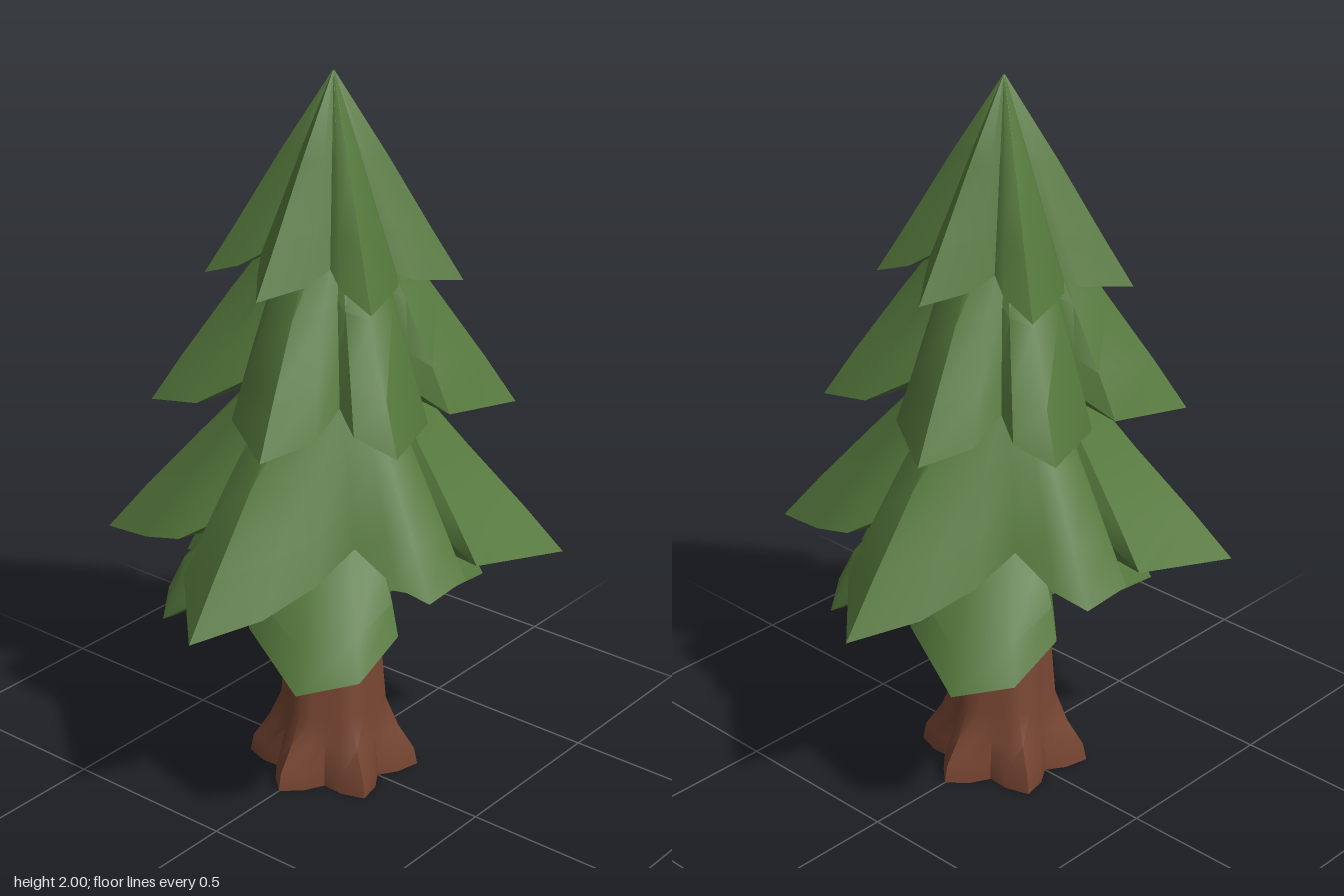
import * as THREE from 'three';
import { mergeVertices, toCreasedNormals } from 'three/addons/utils/BufferGeometryUtils.js';

const foliage = new THREE.MeshStandardMaterial({ color: 0x55783c, side: THREE.DoubleSide });
foliage.name = 'foliage green';
const bark = new THREE.MeshStandardMaterial({ color: 0x754431, side: THREE.DoubleSide });
bark.name = 'bark brown';

// Skin a stack of closed rings, listed from top to bottom
function loft(rings, crease) {
  const n = rings[0].length;
  const index = [];
  for (let r = 0; r < rings.length - 1; r++) {
    for (let i = 0; i < n; i++) {
      const a = r * n + i, b = r * n + (i + 1) % n;
      index.push(a, b, a + n, b, b + n, a + n);
    }
  }
  let geo = new THREE.BufferGeometry();
  geo.setAttribute('position', new THREE.Float32BufferAttribute(rings.flat(2), 3));
  geo.setIndex(index);
  geo = mergeVertices(geo, 1e-4);
  return toCreasedNormals(geo, crease);
}

// One tier of drooping boughs with a hollowed underside. Half of the rim is
// given, from +x round past -z; the other half is the same turned by 180 degrees.
function createTier(name, { topY, topR, bulge, hollowY, halfRim }) {
  const rim = [...halfRim, ...halfRim.map(([x, y, z]) => [-x, y, -z])];
  const circle = (radius, height) => rim.map(([x, , z]) => {
    const r = Math.hypot(x, z);
    return [x / r * radius, height, z / r * radius];
  });
  const top = circle(topR, topY);
  const between = (t, swell) => rim.map((p, i) => [
    top[i][0] + (p[0] - top[i][0]) * t * swell,
    topY + (p[1] - topY) * t,
    top[i][2] + (p[2] - top[i][2]) * t * swell,
  ]);
  const lip = rim.map(([x, y, z]) => [x * 0.93, y + 0.005, z * 0.93]);
  const mesh = new THREE.Mesh(loft([
    top, between(0.4, bulge[0]), between(0.75, bulge[1]), rim, lip,
    circle(0.1, hollowY), circle(0, hollowY + 0.02),
  ], 0.8), foliage);
  mesh.name = name;
  return mesh;
}

// Trunk flaring into rounded root lobes
function createTrunk() {
  const lobes = 6, n = lobes * 4;
  // height, radius, depth of the lobes
  const profile = [[0.68, 0.1, 0], [0.6, 0.112, 0.03], [0.2, 0.142, 0.05],
    [0.12, 0.165, 0.12], [0.05, 0.195, 0.18], [0, 0.2, 0.2], [0, 0, 0]];
  const rings = profile.map(([y, r, depth]) => Array.from({ length: n }, (_, i) => {
    const a = i / n * Math.PI * 2;
    const s = r * (1 + depth * Math.cos(lobes * a));
    return [Math.cos(a) * s, y, -Math.sin(a) * s];
  }));
  const mesh = new THREE.Mesh(loft(rings, 0.8), bark);
  mesh.name = 'trunk';
  return mesh;
}

export function createModel() {
  const tree = new THREE.Group();
  tree.name = 'pine tree';
  tree.add(createTrunk());

  tree.add(createTier('lowestBoughs', {
    topY: 0.92, topR: 0.16, bulge: [1.3, 1.14], hollowY: 0.63,
    halfRim: [
      [0.46, 0.49, -0.25], [0.36, 0.53, -0.38], [0.2, 0.6, -0.38], [0.1, 0.66, -0.27],
      [0, 0.62, -0.34], [-0.2, 0.62, -0.36], [-0.22, 0.66, -0.28],
      [-0.34, 0.58, -0.3], [-0.42, 0.53, -0.25], [-0.42, 0.6, -0.15],
      [-0.3, 0.66, -0.04], [-0.41, 0.6, 0.05],
    ],
  }));
  tree.add(createTier('lowerBoughs', {
    topY: 1.2, topR: 0.17, bulge: [1.03, 1.02], hollowY: 0.8,
    halfRim: [
      [0.62, 0.63, -0.03], [0.47, 0.68, -0.15], [0.33, 0.74, -0.21], [0.22, 0.82, -0.25],
      [0.2, 0.74, -0.37], [0.16, 0.7, -0.45], [0.02, 0.72, -0.46], [-0.01, 0.8, -0.38],
      [-0.03, 0.74, -0.46], [-0.33, 0.69, -0.53], [-0.36, 0.72, -0.36],
      [-0.36, 0.75, -0.24], [-0.27, 0.82, -0.13], [-0.44, 0.7, -0.15],
    ],
  }));
  tree.add(createTier('middleBoughs', {
    topY: 1.62, topR: 0.12, bulge: [1.03, 1.02], hollowY: 1.2,
    halfRim: [
      [0.44, 1.1, -0.12], [0.32, 1.14, -0.2], [0.22, 1.2, -0.2], [0.25, 1.15, -0.27],
      [0.2, 1.1, -0.37], [0.02, 1.13, -0.33], [-0.02, 1.18, -0.27], [-0.06, 1.13, -0.34],
      [-0.3, 1.1, -0.38], [-0.3, 1.13, -0.22], [-0.24, 1.2, -0.11], [-0.34, 1.14, -0.06],
    ],
  }));
  tree.add(createTier('crown', {
    topY: 2, topR: 0.002, bulge: [1.03, 1], hollowY: 1.55,
    halfRim: [
      [0.32, 1.47, -0.01], [0.21, 1.5, -0.09], [0.16, 1.54, -0.12], [0.18, 1.5, -0.17],
      [0.17, 1.45, -0.26], [0.02, 1.48, -0.23], [-0.01, 1.5, -0.2], [-0.04, 1.48, -0.23],
      [-0.19, 1.45, -0.28], [-0.18, 1.49, -0.17], [-0.16, 1.53, -0.11], [-0.22, 1.5, -0.07],
    ],
  }));
  return tree;
}
